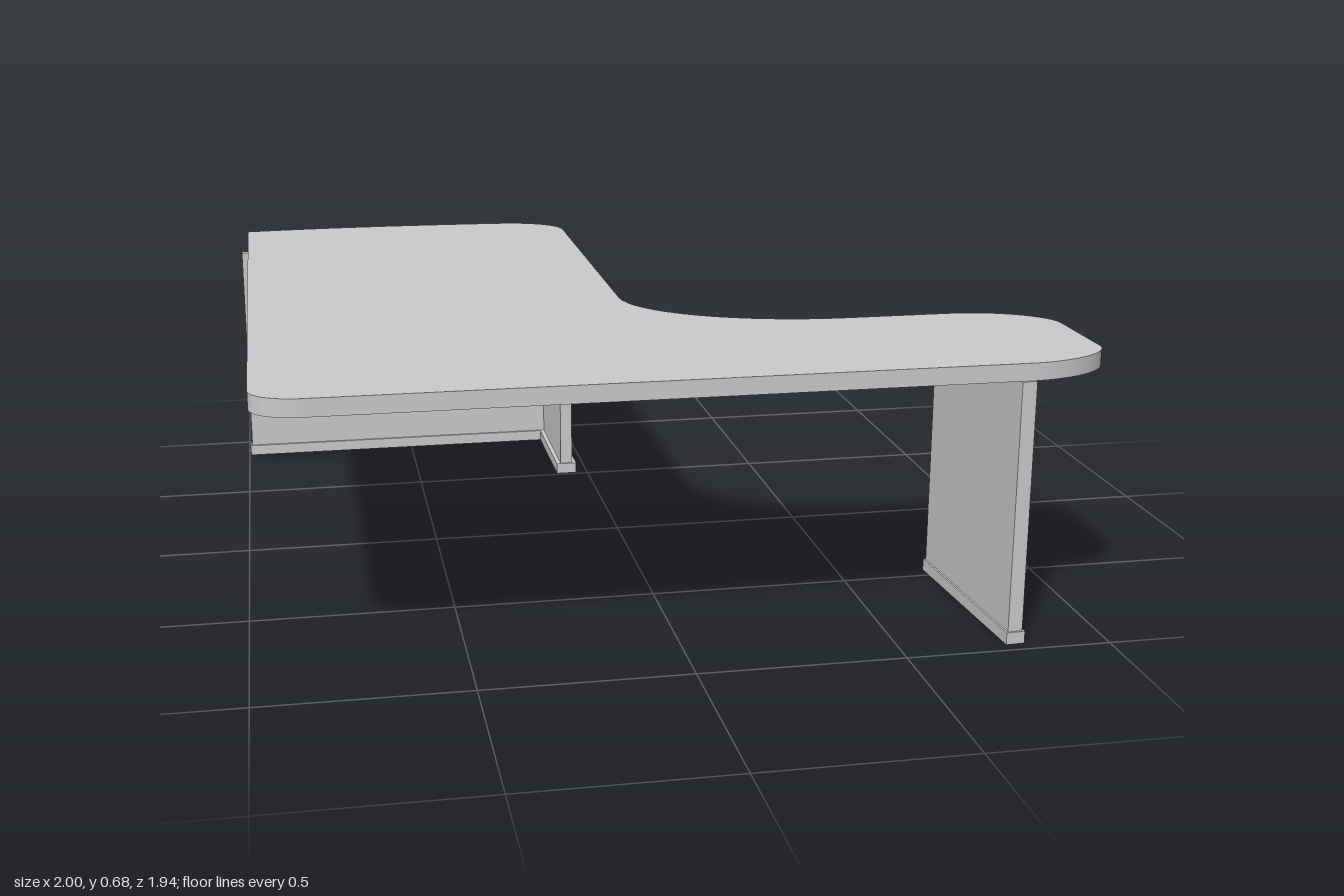
import * as THREE from 'three';
import { toCreasedNormals } from 'three/addons/utils/BufferGeometryUtils.js';

export function createModel() {
  const desk = new THREE.Group();
  desk.name = 'cornerDesk';
  const material = new THREE.MeshStandardMaterial({ color: 0xcccccc });

  // Worktop outline, drawn in x and z
  const s = new THREE.Shape();
  s.moveTo(-0.97, -0.958);
  s.bezierCurveTo(-0.75, -0.978, -0.5, -0.98, -0.2, -0.96);
  s.bezierCurveTo(-0.1, -0.955, -0.02, -0.9, -0.02, -0.83);
  s.lineTo(-0.02, 0.13);
  s.bezierCurveTo(-0.02, 0.31, 0.22, 0.455, 0.5, 0.455);
  s.lineTo(0.76, 0.455);
  s.bezierCurveTo(0.89, 0.455, 1, 0.53, 1, 0.6);
  s.lineTo(1, 0.83);
  s.bezierCurveTo(1, 0.89, 0.9, 0.957, 0.78, 0.957);
  s.lineTo(-0.85, 0.957);
  s.bezierCurveTo(-0.92, 0.957, -0.97, 0.92, -0.97, 0.87);
  s.closePath();
  const thickness = 0.042;
  const slab = new THREE.ExtrudeGeometry(s, { depth: thickness, bevelEnabled: false, curveSegments: 16 });
  slab.rotateX(Math.PI / 2);
  const top = new THREE.Mesh(toCreasedNormals(slab, 0.5), material);
  top.name = 'worktop';
  top.position.y = 0.682;
  desk.add(top);

  // Upright panel standing on a slightly wider foot rail; length runs along local z
  function support(name, x, z, length, width, railWidth, angle, bottom) {
    const group = new THREE.Group();
    group.name = name;
    const box = (part, w, y0, y1, l) => {
      const mesh = new THREE.Mesh(new THREE.BoxGeometry(w, y1 - y0, l), material);
      mesh.name = part;
      mesh.position.y = (y0 + y1) / 2;
      group.add(mesh);
    };
    box('panel', width, bottom + 0.03, 0.64, length);
    box('footRail', railWidth, bottom, bottom + 0.03, length + 0.01);
    group.position.set(x, 0, z);
    group.rotation.y = angle;
    desk.add(group);
  }

  support('backSupport', -0.52, -0.852, 0.94, 0.022, 0.034, Math.PI / 2, 0.008);
  support('innerSupport', -0.066, -0.675, 0.37, 0.034, 0.058, 0, 0.008);
  support('frontSupport', 0.762, 0.713, 0.5, 0.036, 0.046, 0.06, 0);
  return desk;
}
